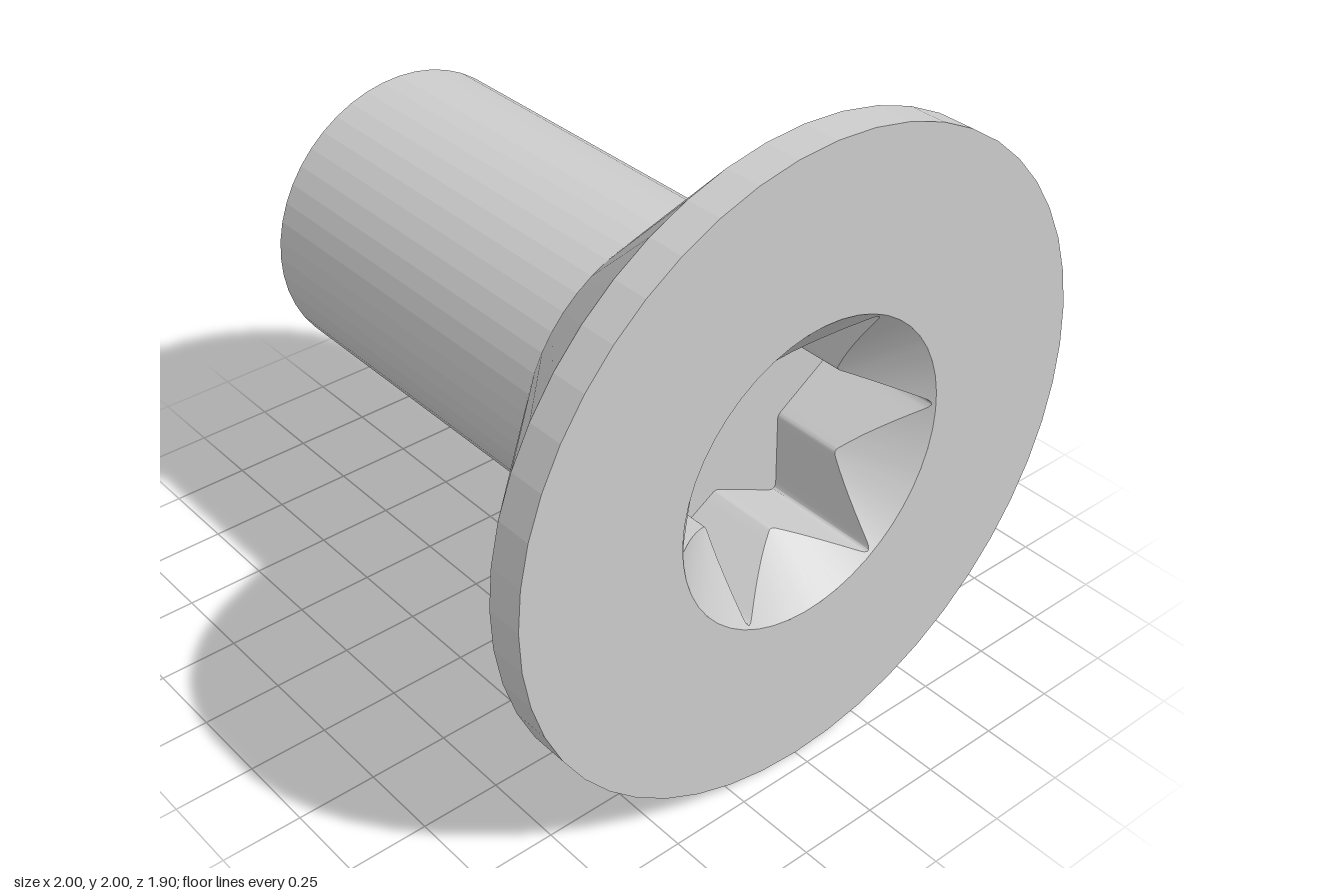
import * as THREE from 'three';
import { toCreasedNormals } from 'three/addons/utils/BufferGeometryUtils.js';

const HOLE_R = 0.47, FRONT = 0.95, FLOOR = 0.56, SLOPE = 0.87;

// Six-pointed star outline, counter-clockwise, with slightly rounded corners
function starOutline() {
  const corners = [], points = [];
  for (let i = 0; i < 12; i++) {
    const r = i % 2 ? 0.28 : 0.475;
    const a = i * Math.PI / 6 + 0.05;
    corners.push(new THREE.Vector2(r * Math.cos(a), r * Math.sin(a)));
  }
  corners.forEach((c, i) => {
    const prev = corners[(i + 11) % 12], next = corners[(i + 1) % 12];
    const cut = i % 2 ? 0.05 : 0.12, nextCut = i % 2 ? 0.12 : 0.05;
    const start = c.clone().lerp(prev, cut), end = c.clone().lerp(next, cut);
    points.push(...new THREE.QuadraticBezierCurve(start, c, end).getPoints(5));
    // extra points along the straight flank
    for (let k = 1; k < 6; k++) {
      points.push(c.clone().lerp(next, cut + (1 - cut - nextCut) * k / 6));
    }
  });
  return points;
}

// Skin between closed rings of equal length
function loft(rings) {
  const n = rings[0].length, index = [];
  for (let r = 0; r < rings.length - 1; r++) {
    for (let i = 0; i < n; i++) {
      const j = (i + 1) % n, a = r * n, b = a + n;
      index.push(a + i, a + j, b + j, a + i, b + j, b + i);
    }
  }
  const geo = new THREE.BufferGeometry();
  geo.setAttribute('position', new THREE.Float32BufferAttribute(rings.flat(2), 3));
  geo.setIndex(index);
  return toCreasedNormals(geo, 0.4);
}

export function createModel() {
  const group = new THREE.Group();
  const flat = new THREE.MeshStandardMaterial({ color: 0xcccccc, flatShading: true });
  const smooth = new THREE.MeshStandardMaterial({ color: 0xcccccc });
  const add = (name, geometry, material) => {
    const mesh = new THREE.Mesh(geometry, material);
    mesh.name = name;
    mesh.position.y = 1;
    group.add(mesh);
  };
  const turned = (profile) => new THREE.LatheGeometry(
    profile.map(([r, z]) => new THREE.Vector2(r, z)), 48).rotateX(Math.PI / 2);

  // Shank with chamfered end
  add('shank', turned([[0, -0.95], [0.43, -0.95], [0.475, -0.905], [0.475, 0.31]]), flat);

  // Countersunk head with flat front ring
  add('head', turned([[0.475, 0.31], [1, 0.835], [1, FRONT], [HOLE_R, FRONT]]), flat);

  // Drive recess: conical entry, then straight star walls
  const star = starOutline();
  const rim = star.map((p) => {
    const k = HOLE_R / p.length();
    return [p.x * k, p.y * k, FRONT];
  });
  const ledge = star.map((p) => [p.x, p.y, FRONT - (HOLE_R - p.length()) * SLOPE]);
  const base = star.map((p) => [p.x, p.y, FLOOR]);
  add('recessEntry', loft([rim, ledge]), smooth);
  add('recessWalls', loft([ledge, base]), smooth);

  // Flat bottom of the recess
  add('recessFloor', new THREE.ShapeGeometry(new THREE.Shape(star)).translate(0, 0, FLOOR), smooth);

  return group;
}
